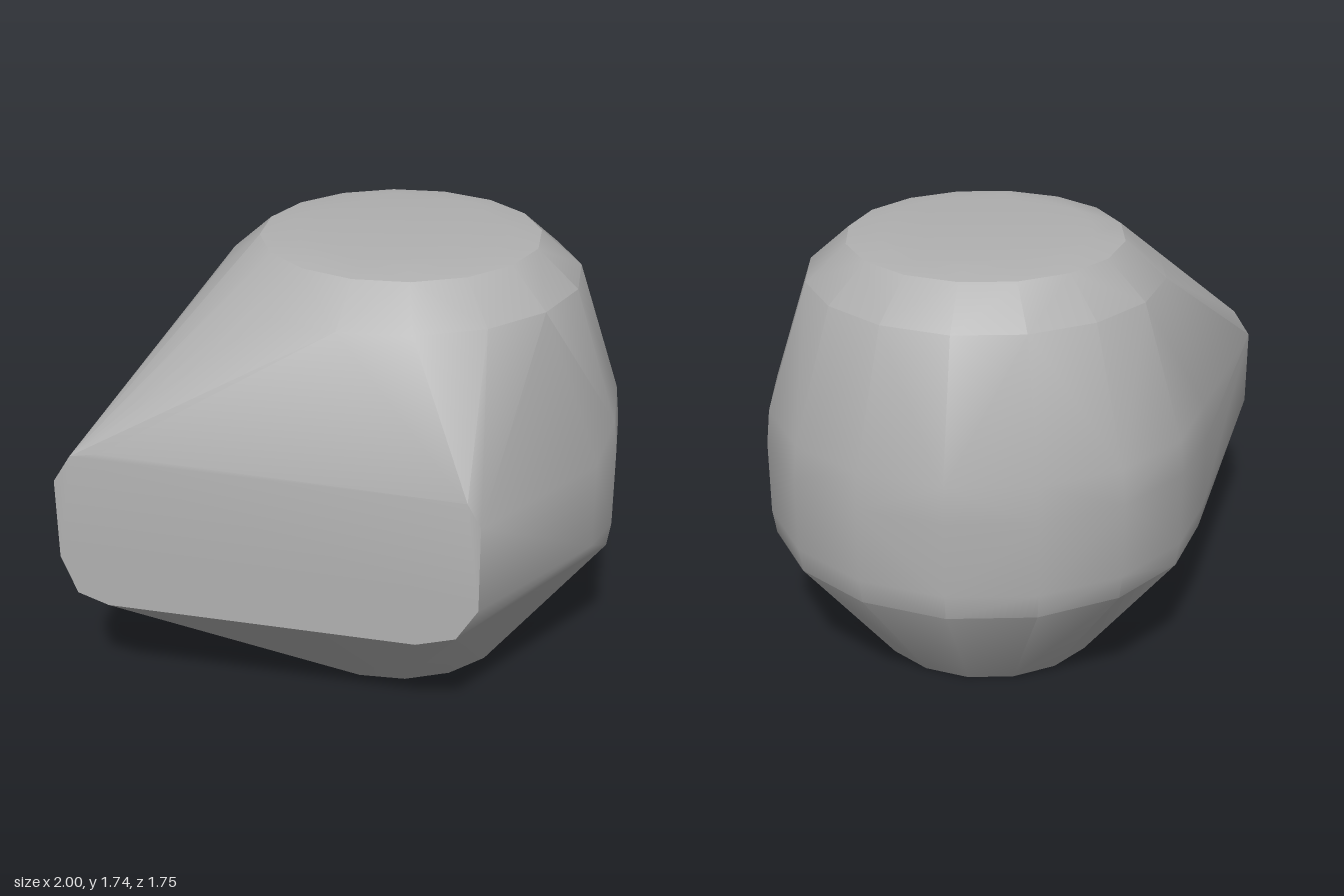
import * as THREE from 'three';
import { ConvexGeometry } from 'three/addons/geometries/ConvexGeometry.js';
import { toCreasedNormals } from 'three/addons/utils/BufferGeometryUtils.js';

const CENTRE_X = 0.12;
const SIDES = 16;
const PHASE = THREE.MathUtils.degToRad(7);

// Horizontal rings of the round body: [height, radius]
const RINGS = [
  [0, 0.47], [0.52, 0.87], [0.62, 0.885], [0.92, 0.885],
  [1.06, 0.87], [1.58, 0.7], [1.72, 0.54], [1.74, 0.42],
];

// Outline of the flat front face: [x, y]
const FRONT_Z = 0.875;
const FRONT = [
  [-1, 0.64], [-1, 0.96], [-0.93, 1.07], [-0.82, 1.09], [0.55, 1.05], [0.6, 0.96],
  [0.6, 0.62], [0.52, 0.49], [0.37, 0.445], [-0.82, 0.45], [-0.94, 0.49],
];

export function createModel() {
  const stone = new THREE.MeshStandardMaterial({ color: 0xb0b0b0 });
  stone.name = 'plain grey';

  const points = FRONT.map(([x, y]) => new THREE.Vector3(x, y, FRONT_Z));

  // Round body; the widest rings are cut away where the flat front takes over
  for (const [y, r] of RINGS) {
    for (let i = 0; i < SIDES; i++) {
      const a = PHASE + (i / SIDES) * Math.PI * 2;
      const x = CENTRE_X + r * Math.cos(a);
      const z = r * Math.sin(a);
      if (r > 0.8 && z > 0.25) continue;
      points.push(new THREE.Vector3(x, y, Math.max(z, -0.875)));
    }
  }

  // Right shoulder where the round side turns into the straight flank
  for (const y of [0.6, 0.95]) points.push(new THREE.Vector3(0.94, y, 0.27));

  // Convex shell, smooth around the body and sharp at the flat faces
  const geometry = toCreasedNormals(new ConvexGeometry(points), 0.55);
  const body = new THREE.Mesh(geometry, stone);
  body.name = 'body';

  const group = new THREE.Group();
  group.name = 'roundedBlock';
  group.add(body);
  return group;
}
